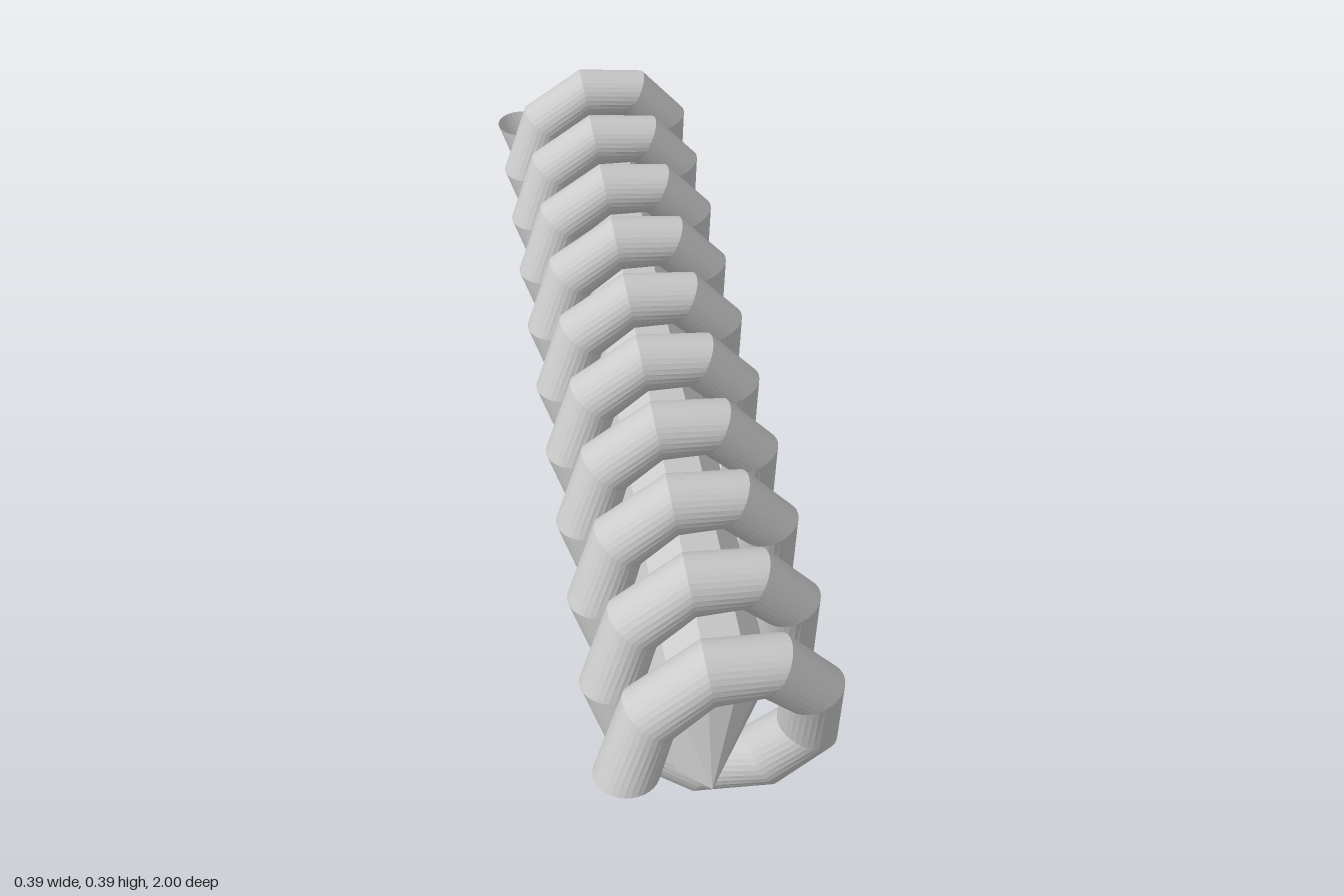
import * as THREE from 'three';

const CX = 0.004, CY = 0.198;      // axis of the screw
const STEP = 40 * Math.PI / 180;   // nine segments per turn
const RISE = 0.0206;               // travel along z per segment

// Point on the screw: angle, distance from the axis, z
const polar = (a, r, z) => [CX + r * Math.cos(a), CY + r * Math.sin(a), z];

function makeMesh(name, points, index) {
  const geometry = new THREE.BufferGeometry();
  geometry.setAttribute('position', new THREE.Float32BufferAttribute(points.flat(), 3));
  geometry.setIndex(index);
  geometry.computeVertexNormals();
  const material = new THREE.MeshStandardMaterial({
    color: 0xcccccc, flatShading: true, side: THREE.DoubleSide,
  });
  const mesh = new THREE.Mesh(geometry, material);
  mesh.name = name;
  return mesh;
}

// Open-ended round coil: a circle swept ten turns around the axis
function makeCoil() {
  const segments = 90, sides = 32, points = [], index = [];
  for (let k = 0; k <= segments; k++) {
    for (let s = 0; s < sides; s++) {
      const t = s / sides * Math.PI * 2;
      points.push(polar(Math.PI - k * STEP, 0.15 + 0.05 * Math.cos(t),
        0.95 - k * RISE + 0.05 * Math.sin(t)));
      if (k === segments) continue;
      const a = k * sides + s, b = k * sides + (s + 1) % sides;
      index.push(a, b, b + sides, a, b + sides, a + sides);
    }
  }
  return makeMesh('coil', points, index);
}

// Nine-sided core whose two ends follow the pitch and come to a point
function makeCore() {
  const n = 9, tip = 2, points = [], index = [];
  const start = -100 * Math.PI / 180, radius = 0.093;
  for (let j = 0; j < n; j++) points.push(polar(start - j * STEP, radius, 0.92 - j * RISE));
  for (let j = 0; j < n; j++) {
    const m = (j - tip - 1 + n) % n;
    points.push(polar(start - j * STEP, radius, -0.835 - m * RISE));
  }
  for (let j = 0; j < n; j++) {
    const k = (j + 1) % n;
    index.push(j, k, n + k, j, n + k, n + j);
  }
  // End caps fan out from the furthest corner
  for (let i = 1; i < n - 1; i++) {
    index.push(0, i + 1, i);
    index.push(n + tip, n + (tip + i) % n, n + (tip + i + 1) % n);
  }
  return makeMesh('core', points, index);
}

export function createModel() {
  const group = new THREE.Group();
  group.name = 'coiledRod';
  group.add(makeCoil(), makeCore());
  return group;
}
